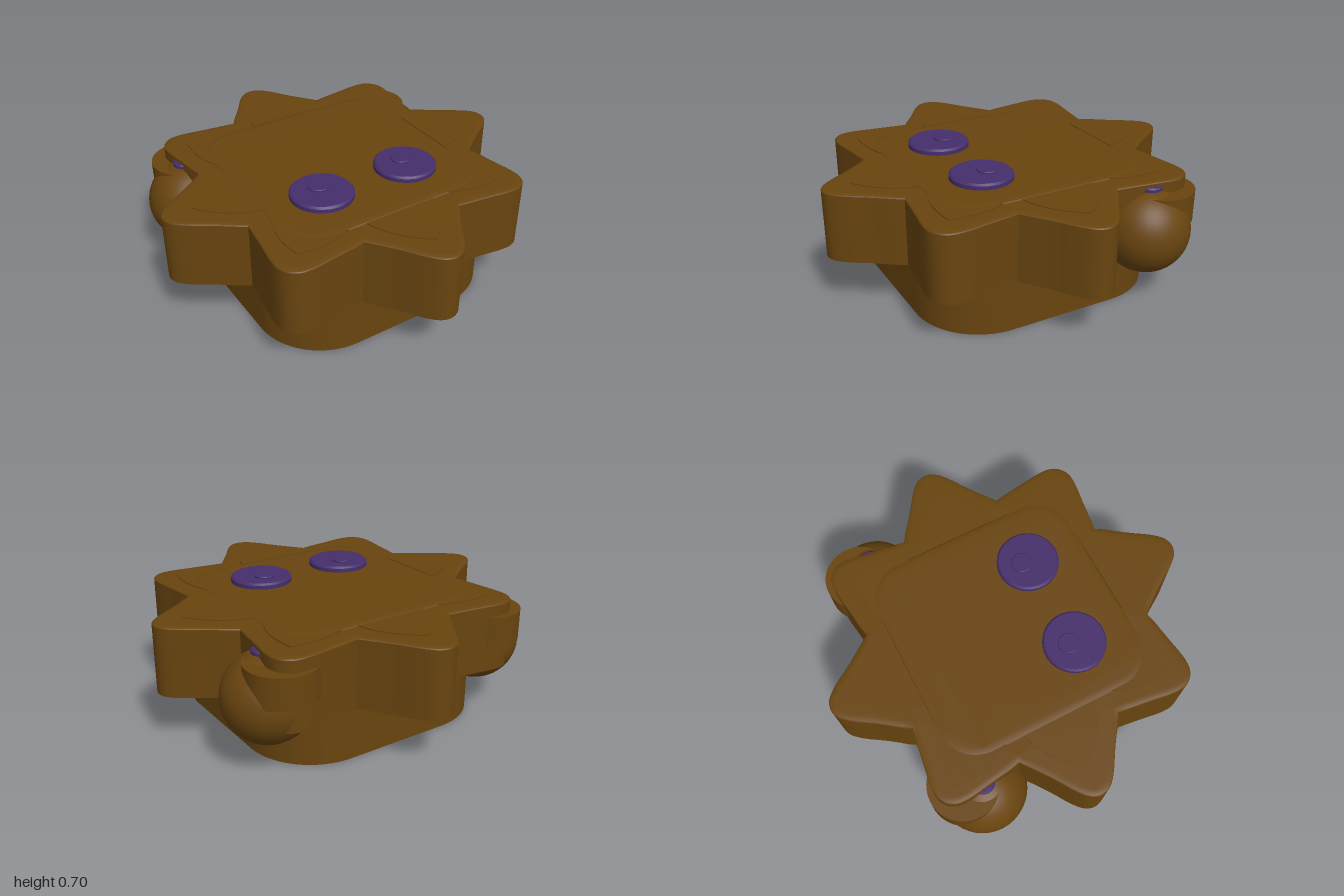
import * as THREE from 'three';
import { toCreasedNormals } from 'three/addons/utils/BufferGeometryUtils.js';

const brown = new THREE.MeshStandardMaterial({ color: 0x68440f });
brown.name = 'brown';
const purple = new THREE.MeshStandardMaterial({ color: 0x452e6b });
purple.name = 'purple';

function part(name, geometry, material, x = 0, y = 0, z = 0) {
  const mesh = new THREE.Mesh(geometry, material);
  mesh.name = name;
  mesh.position.set(x, y, z);
  return mesh;
}

// Extrudes a plan outline upwards from y0 to y1, with an optional inward bevel
function slab(shape, y0, y1, bevelHeight = 0, bevelWidth = 0) {
  const geo = new THREE.ExtrudeGeometry(shape, {
    depth: y1 - y0 - 2 * bevelHeight, curveSegments: 10,
    bevelEnabled: bevelHeight > 0, bevelThickness: bevelHeight,
    bevelSize: bevelWidth, bevelOffset: -bevelWidth, bevelSegments: 3,
  });
  geo.rotateX(-Math.PI / 2);
  geo.translate(0, y0 + bevelHeight, 0);
  return toCreasedNormals(geo, 0.5);
}

function roundedSquare(h, r) {
  const s = new THREE.Shape();
  const c = h - r;
  s.absarc(c, c, r, 0, Math.PI / 2);
  s.absarc(-c, c, r, Math.PI / 2, Math.PI);
  s.absarc(-c, -c, r, Math.PI, Math.PI * 1.5);
  s.absarc(c, -c, r, Math.PI * 1.5, Math.PI * 2);
  s.closePath();
  return s;
}

// Eight rounded points; the diagonal ones are slightly shorter
function starShape() {
  const half = [[0.285, 0.675], [0.18, 0.815], [0.1, 0.935], [0.05, 0.985], [0, 1]];
  const profile = [...half, ...half.slice(0, -1).reverse().map(([x, y]) => [-x, y])];
  const curve = new THREE.CatmullRomCurve3(profile.map(([x, y]) => new THREE.Vector3(x, y, 0)));
  const spaced = curve.getPoints(24);
  const pts = [];
  for (let i = 0; i < 8; i++) {
    const a = (i * Math.PI) / 4;
    for (const p of spaced.slice(0, -1)) {
      const k = i % 2 && p.y > 0.8 ? 1 - 0.025 * (p.y - 0.8) / 0.2 : 1;
      const y = p.y * k;
      pts.push(new THREE.Vector2(p.x * Math.cos(a) - y * Math.sin(a), p.x * Math.sin(a) + y * Math.cos(a)));
    }
  }
  return new THREE.Shape(pts);
}

// Thin leaf-shaped overlay for one star point
function petalShape() {
  const s = new THREE.Shape();
  s.moveTo(0.2, 0.57);
  s.quadraticCurveTo(0.17, 0.73, 0, 0.85);
  s.quadraticCurveTo(-0.17, 0.73, -0.2, 0.57);
  s.closePath();
  return s;
}

// Round button with a softened rim
function button(r, h) {
  const b = Math.min(0.01, h / 3);
  const profile = [[0, 0], [r, 0], [r, h - b], [r - b, h], [0, h]].map(([x, y]) => new THREE.Vector2(x, y));
  return toCreasedNormals(new THREE.LatheGeometry(profile, 40), 0.5);
}

export function createModel() {
  const model = new THREE.Group();
  model.name = 'starCreature';

  // Body: rounded square base, star shell and raised back
  model.add(part('base', slab(roundedSquare(0.655, 0.36), 0, 0.6), brown));
  const star = starShape();
  model.add(part('starShell', slab(star, 0.28, 0.64), brown));
  model.add(part('starLid', slab(star, 0.626, 0.65, 0.01, 0.03), brown));
  model.add(part('topPad', slab(roundedSquare(0.57, 0.2), 0.63, 0.66, 0.01, 0.04), brown));

  // Raised panels on the star points
  const petal = slab(petalShape(), 0.647, 0.655);
  for (let i = 0; i < 8; i++) {
    const panel = part('pointPanel', petal, brown);
    panel.rotation.y = (i * Math.PI) / 4;
    model.add(panel);
  }

  for (const side of [1, -1]) {
    // Eyes
    model.add(part('eye', button(0.165, 0.035), purple, side * 0.255, 0.656, 0.255));
    model.add(part('pupil', button(0.055, 0.01), purple, side * 0.255, 0.691, 0.22));

    // Round side lobes with a collar and a small button
    model.add(part('lobe', new THREE.SphereGeometry(0.231, 40, 28), brown, side * 0.655, 0.376, -0.483));
    model.add(part('lobeCollar', new THREE.CylinderGeometry(0.183, 0.183, 0.165, 40), brown, side * 0.63, 0.4975, -0.572));
    model.add(part('lobeButton', button(0.06, 0.022), purple, side * 0.672, 0.603, -0.483));
  }
  return model;
}
